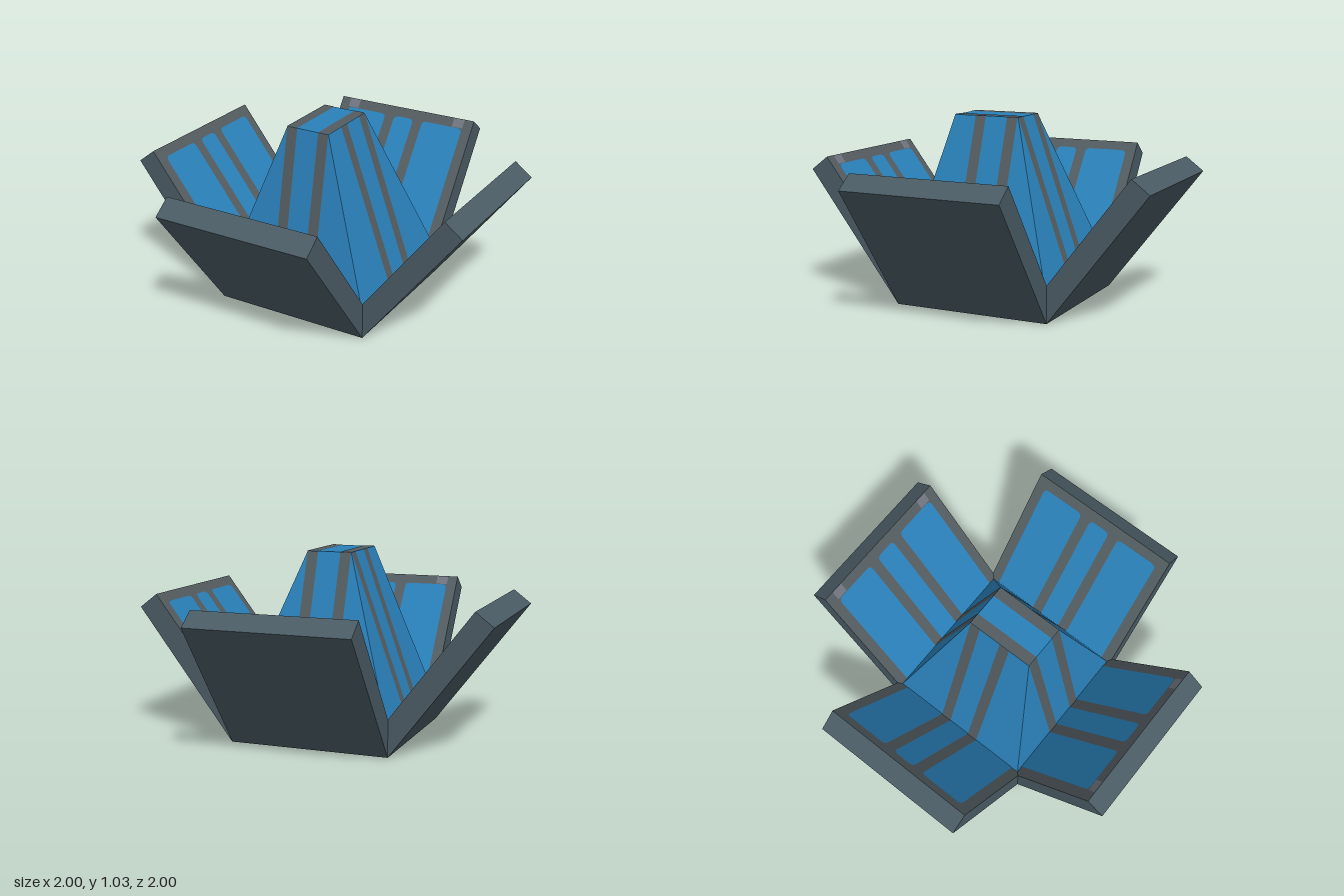
import * as THREE from 'three';

const mat = (name, color) => {
  const m = new THREE.MeshStandardMaterial({ color });
  m.name = name;
  return m;
};

export function createModel() {
  const shell = mat('slate shell', 0x4a5b64);
  const trim = mat('grey trim', 0x535c60);
  const blue = mat('panel blue', 0x2980b9);
  const light = mat('light latch', 0x70747f);
  const under = mat('underside', 0x484a5a);
  const model = new THREE.Group();

  const add = (parent, name, geometry, material) => {
    const mesh = new THREE.Mesh(geometry, material);
    mesh.name = name;
    parent.add(mesh);
    return mesh;
  };

  // Flat-faced geometry from counter-clockwise quads, lifted along their normals
  const quads = (list, lift = 0) => {
    const pos = [];
    for (const [a, b, c, d] of list) {
      const n = b.clone().sub(a).cross(d.clone().sub(a)).normalize().multiplyScalar(lift);
      for (const p of [a, b, c, a, c, d]) pos.push(...p.clone().add(n).toArray());
    }
    const g = new THREE.BufferGeometry();
    g.setAttribute('position', new THREE.Float32BufferAttribute(pos, 3));
    g.computeVertexNormals();
    return g;
  };

  const roundedPlate = (x0, x1, y0, y1, r) => {
    const s = new THREE.Shape();
    s.moveTo(x0 + r, y0);
    s.lineTo(x1 - r, y0);
    s.quadraticCurveTo(x1, y0, x1, y0 + r);
    s.lineTo(x1, y1 - r);
    s.quadraticCurveTo(x1, y1, x1 - r, y1);
    s.lineTo(x0 + r, y1);
    s.quadraticCurveTo(x0, y1, x0, y1 - r);
    s.lineTo(x0, y0 + r);
    s.quadraticCurveTo(x0, y0, x0 + r, y0);
    return new THREE.ShapeGeometry(s, 4);
  };

  // Base floor and hidden core below the tower
  add(model, 'baseFloor', new THREE.BoxGeometry(0.9, 0.006, 0.9), under).position.y = 0.003;
  add(model, 'core', new THREE.BoxGeometry(0.84, 0.17, 0.84), shell).position.y = 0.09;

  // Four slabs leaning outward from the edges of the base
  const tilt = Math.atan2(0.55, 0.72), length = 0.906, thick = 0.125;
  ['front', 'left', 'back', 'right'].forEach((side, i) => {
    const arm = new THREE.Group();
    arm.name = side + 'Flap';
    arm.rotation.y = i * Math.PI / 2;
    model.add(arm);
    const flap = new THREE.Group();
    flap.position.z = 0.45;
    flap.rotation.x = tilt;
    arm.add(flap);
    add(flap, 'slab', new THREE.BoxGeometry(0.9, length, thick), shell)
      .position.set(0, length / 2, -thick / 2);

    // Inner face: frame, three blue panels, latches on front and back
    const inner = new THREE.Group();
    inner.position.z = -thick;
    inner.rotation.y = Math.PI;
    flap.add(inner);
    const frame = new THREE.PlaneGeometry(0.9, length);
    add(inner, 'innerFrame', frame, trim).position.set(0, length / 2, 0.0015);
    for (const [x0, x1] of [[-0.39, -0.127], [-0.065, 0.065], [0.127, 0.39]])
      add(inner, 'bluePanel', roundedPlate(x0, x1, 0.08, 0.845, 0.03), blue).position.z = 0.004;
    if (i % 2 === 0)
      for (const x of [-0.357, 0.357])
        add(inner, 'latch', new THREE.PlaneGeometry(0.068, 0.055), light)
          .position.set(x, 0.876, 0.003);
  });

  // Central tower: tapered block with a top set toward the front
  const ring = (x, zBack, zFront, y) => [[-x, zFront], [x, zFront], [x, zBack], [-x, zBack]]
    .map(([px, pz]) => new THREE.Vector3(px, y, pz));
  const B = ring(0.432, -0.432, 0.432, 0.178), T = ring(0.127, -0.13, 0.257, 1.033);
  const faces = [0, 1, 2, 3].map(i => [B[i], B[(i + 1) % 4], T[(i + 1) % 4], T[i]]);
  faces.push(T);
  add(model, 'tower', quads(faces), blue);

  // Grey stripes of constant width running up the tower and over its top
  const stripes = [];
  faces.forEach(([a, b, c, d], i) => {
    const axis = i % 2 ? 'z' : 'x';
    const at = (p, q, u) => p.clone().lerp(q, (u - p[axis]) / (q[axis] - p[axis]));
    for (const [lo, hi] of [[-0.127, -0.065], [0.065, 0.127]]) {
      const [u, v] = b[axis] > a[axis] ? [lo, hi] : [hi, lo];
      stripes.push([at(a, b, u), at(a, b, v), at(d, c, v), at(d, c, u)]);
    }
  });
  add(model, 'towerStripes', quads(stripes, 0.002), trim);

  return model;
}
